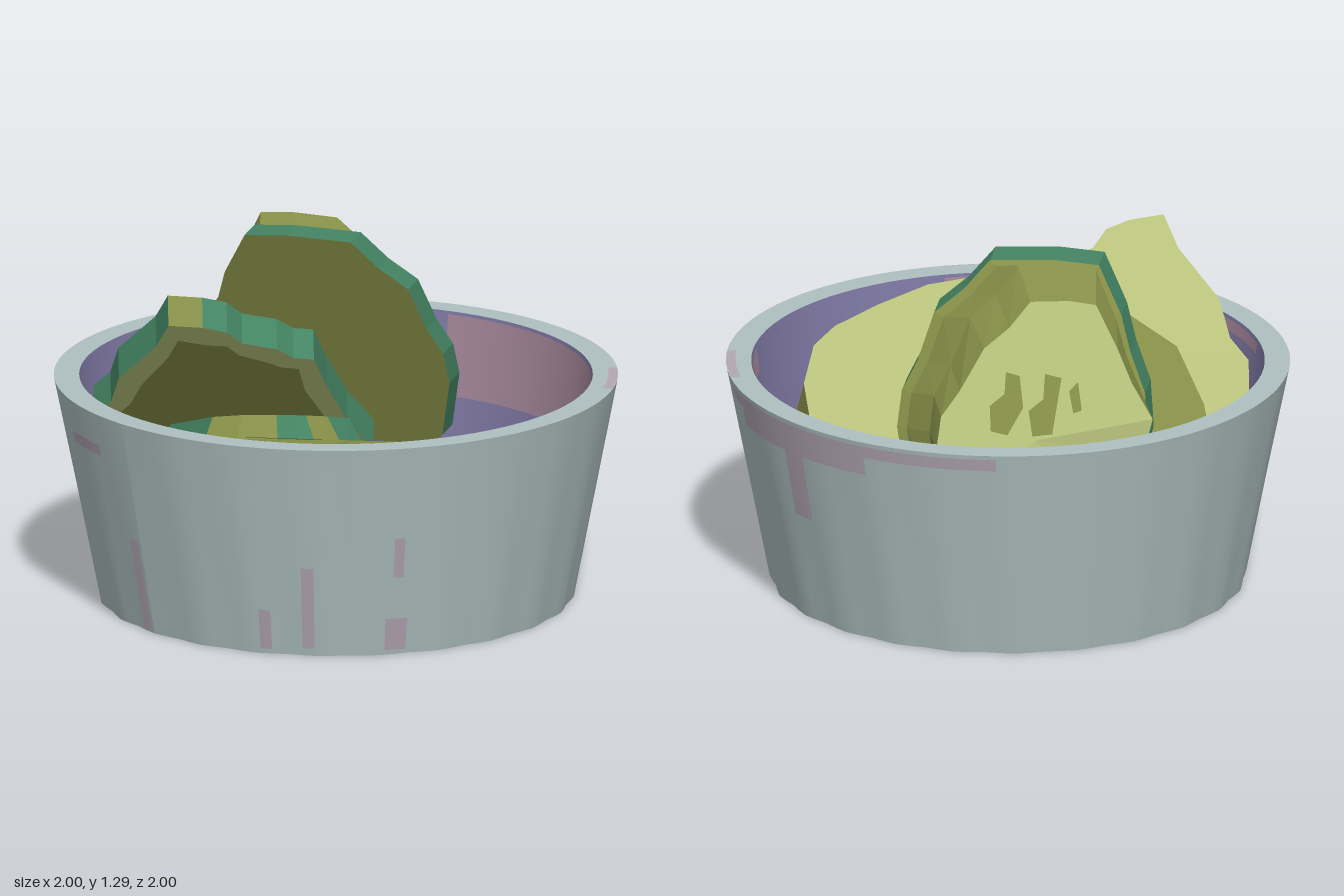
import * as THREE from 'three';

const mat = (name, color) => {
  const m = new THREE.MeshStandardMaterial({ color, side: THREE.DoubleSide });
  m.name = name;
  return m;
};
const V = (x, y, z) => new THREE.Vector3(x, y, z);

export function createModel() {
  const metal = mat('greyMetal', 0xafc0c0);
  const purple = mat('purpleInside', 0x7f79a4);
  const pink = mat('pinkStain', 0xb3a6b4);
  const mauve = mat('mauveStain', 0xa5879b);
  const flesh = mat('paleFlesh', 0xb8c27b);
  const olive = mat('oliveFlesh', 0x858e47);
  const teal = mat('tealRind', 0x448463);

  const model = new THREE.Group();
  const bowl = new THREE.Group();
  bowl.name = 'bowl';
  model.add(bowl);

  const add = (parent, name, geometry, material) => {
    const m = new THREE.Mesh(geometry, material);
    m.name = name;
    parent.add(m);
    return m;
  };

  // Bowl walls: turned profiles, optionally fluted towards the foot
  const outerR = (y) => 0.845 + 0.155 * y / 0.8;
  const innerR = (y) => 0.845 + 0.065 * (y - 0.24) / 0.56;
  const turn = (name, profile, material, fluted) => {
    const g = new THREE.LatheGeometry(profile.map(([r, y]) => new THREE.Vector2(r, y)), 96);
    if (fluted) {
      const p = g.attributes.position;
      for (let i = 0; i < p.count; i++) {
        const x = p.getX(i), z = p.getZ(i);
        const k = 1 + 0.007 * (Math.cos(24 * Math.atan2(x, z)) - 1) * (1 - p.getY(i) / 0.8);
        p.setX(i, x * k);
        p.setZ(i, z * k);
      }
      g.computeVertexNormals();
    }
    add(bowl, name, g, material);
  };
  turn('outerWall', [[outerR(0), 0], [outerR(0.4), 0.4], [1, 0.8]], metal, true);
  turn('rim', [[1, 0.8], [0.91, 0.8]], metal);
  turn('innerWall', [[0.91, 0.8], [0.845, 0.24]], purple);
  turn('footInside', [[0.87, 0.2], [0.835, 0]], metal, true);
  turn('footEdge', [[0.835, 0], [0.845, 0]], metal, true);
  turn('floorUnderside', [[0.001, 0.2], [0.87, 0.2]], purple);

  // Floor in two colours, split by a chord
  const floorPart = (name, a0, a1, material) => {
    const s = new THREE.Shape();
    s.absarc(0, 0, 0.845, a0, a1, false);
    const m = add(bowl, name, new THREE.ShapeGeometry(s, 32), material);
    m.rotation.x = -Math.PI / 2;
    m.position.y = 0.24;
  };
  floorPart('floorBack', 0.2, Math.PI - 0.2, metal);
  floorPart('floorFront', Math.PI - 0.2, Math.PI * 2 + 0.2, purple);

  // Stains: thin curved strips [angle, angular width, bottom, top]
  const strip = (name, radius, offset, [a, w, y0, y1], material) => {
    const n = Math.max(2, Math.ceil(w * 16));
    const g = new THREE.CylinderGeometry(radius(y1) + offset, radius(y0) + offset, y1 - y0, n, 1, true, a - w / 2, w);
    add(bowl, name, g, material).position.y = (y0 + y1) / 2;
  };
  [[-0.035, 0.05, 0.01, 0.35], [0.75, 0.05, 0.03, 0.34], [0.57, 0.05, 0.02, 0.17], [-0.28, 0.23, 0.64, 0.68],
    [1.11, 0.04, 0.3, 0.45], [1.11, 0.09, 0.02, 0.14], [3.2, 1.3, 0.74, 0.785],
    [3.0, 0.7, 0.67, 0.74], [3.0, 0.1, 0.42, 0.67]]
    .forEach((s) => strip('outerStain', outerR, 0.003, s, pink));
  [[3.0, 1.1, 0.5, 0.79], [2.35, 0.4, 0.7, 0.79], [0.2, 1.6, 0.75, 0.79]]
    .forEach((s) => strip('innerStain', innerR, -0.005, s, mauve));
  const rimStain = add(bowl, 'rimStain', new THREE.RingGeometry(0.965, 0.998, 8, 1, 0.66, 0.28), pink);
  rimStain.rotation.x = -Math.PI / 2;
  rimStain.position.y = 0.803;

  // Faceted surfaces: fans for faces, bands for sides
  const facets = (tris) => {
    const g = new THREE.BufferGeometry().setFromPoints(tris);
    g.computeVertexNormals();
    return g;
  };
  const fan = (ring, c, flip) => facets(ring.flatMap((p, i) => {
    const q = ring[(i + 1) % ring.length];
    return flip ? [c, q, p] : [c, p, q];
  }));
  const band = (a, b, keep) => facets(a.flatMap((p, i) => {
    const j = (i + 1) % a.length;
    return keep(i) ? [b[i], b[j], a[j], b[i], a[j], p] : [];
  }));
  const middle = (ring) => ring.reduce((s, p) => s.add(p), V(0, 0, 0)).divideScalar(ring.length);

  // Keeps a point inside the bowl
  const inside = (v) => {
    if (v.y < 0.88) {
      v.y = Math.max(v.y, 0.215);
      const r = Math.hypot(v.x, v.z), max = Math.max(0.832, innerR(v.y) - 0.012);
      if (r > max) { v.x *= max / r; v.z *= max / r; }
    }
    return v;
  };

  // Slice on the plane y = h + bx + cz, given by its plan outline; the underside is wider by flare
  const slice = (name, [h, b, c], thick, flare, outline, rind, patches, marks) => {
    const group = new THREE.Group();
    group.name = name;
    model.add(group);
    const n = V(-b, 1, -c).normalize();
    const at = ([x, z], lift = 0) => V(x, h + b * x + c * z, z).addScaledVector(n, lift);
    const flat = outline.map((p) => at(p));
    const heart = middle(flat);
    const top = flat.map((p) => inside(p.clone()));
    const bottom = flat.map((p) => inside(p.clone()
      .addScaledVector(p.clone().sub(heart).normalize(), flare).addScaledVector(n, -thick)));
    add(group, 'topFace', fan(top, middle(top)), flesh);
    add(group, 'bottomFace', fan(bottom, middle(bottom), true), flesh);
    add(group, 'rind', band(top, bottom, (i) => !patches.includes(i)), rind);
    if (patches.length) add(group, 'rindPatch', band(top, bottom, (i) => patches.includes(i)), olive);
    marks.forEach(([label, pts, m]) => {
      const ring = pts.map((p) => at(p, 0.007));
      add(group, label, fan(ring, middle(ring)), m);
    });
    // Seed core on the underside
    const mid = middle(bottom);
    const core = bottom.map((p, i) => p.clone().lerp(mid, i % 3 ? 0.17 : 0.21).addScaledVector(n, -0.008));
    add(group, 'undersideCore', fan(core, middle(core), true), olive);
  };

  slice('lowSlice', [0.534, 0.22, 0.22], 0.12, 0.025,
    [[-0.02, 0.64], [0.1, 0.7], [0.22, 0.72], [0.4, 0.67], [0.68, 0.53], [0.76, 0.4], [0.81, 0.2], [0.84, 0],
      [0.82, -0.13], [0.7, -0.31], [0.55, -0.44], [0.4, -0.48], [0.33, -0.47], [0.2, -0.46], [0.08, -0.4],
      [0, -0.1], [-0.1, 0.3]],
    olive, [], [
      ['core', [[0.05, 0.6], [0.2, 0.65], [0.34, 0.65], [0.39, 0.55], [0.41, 0.37], [0.36, 0.2], [0.22, 0.05],
        [0.14, -0.1], [0.1, -0.22], [0.04, -0.22], [0, 0.2]], olive],
      ['glintLeft', [[0.42, 0.24], [0.5, 0.25], [0.54, 0.29], [0.54, 0.23], [0.48, 0.21], [0.42, 0.21]], metal],
      ['glintRight', [[0.54, 0.29], [0.57, 0.35], [0.64, 0.36], [0.62, 0.3], [0.54, 0.25]], metal]]);

  slice('middleSlice', [0.61, 0.3, 0.22], 0.12, 0.06,
    [[-0.2, 0.6], [-0.05, 0.63], [0.1, 0.66], [0.2, 0.61], [0.26, 0.5], [0.28, 0.38], [0.28, 0.28], [0.25, 0.15],
      [0.17, 0.07], [0.05, 0], [-0.2, 0.25]],
    teal, [2, 3, 5], []);

  slice('leaningSlice', [0.77, 0.93, 0.76], 0.13, 0,
    [[-0.72, 0.53], [-0.55, 0.66], [-0.47, 0.65], [-0.38, 0.69], [-0.2, 0.67], [-0.11, 0.69], [-0.04, 0.59],
      [0, 0.51], [0, 0.44], [0.06, 0.33], [0.07, 0.26], [0.11, 0.2], [0.06, 0.1], [0, -0.05], [-0.03, -0.2],
      [-0.2, -0.2], [-0.4, -0.02], [-0.6, 0.15], [-0.77, 0.33]],
    teal, [5], [
      ['core', [[-0.65, 0.28], [-0.62, 0.4], [-0.52, 0.46], [-0.36, 0.49], [-0.2, 0.42], [-0.08, 0.27], [-0.02, 0.1],
        [-0.03, -0.1], [-0.18, -0.14], [-0.38, 0.03], [-0.55, 0.17]], olive]]);

  // Upright thick end piece: outlines in its own (u, y) plane, stepped along w
  const end = new THREE.Group();
  end.name = 'uprightEndPiece';
  model.add(end);
  const place = (u, y, w) => inside(V(0.82 * u + 0.57 * w, y, -0.57 * u + 0.82 * w));
  const frontW = (y) => -0.09 - (1.27 - y) * 0.42;
  const rindW = (y) => frontW(y) - 0.14;
  const backW = (y) => -0.43 - (1.29 - y) * 0.52;
  const outline = [[-0.3, 0.3], [0.1, 0.3], [0.28, 0.48], [0.33, 0.7], [0.32, 0.82], [0.27, 0.92], [0.22, 1.08],
    [0.12, 1.16], [0.03, 1.26], [-0.2, 1.27], [-0.36, 1.26], [-0.45, 1.1], [-0.49, 0.98], [-0.55, 0.85],
    [-0.57, 0.7], [-0.5, 0.45]];
  const step = (su, sy, du, dy, peak, w) => outline.map(([u, y]) => {
    const narrow = 1 - peak * Math.max(0, y - 0.85);
    const U = -0.12 + (u + 0.12) * su * narrow + du, Y = 0.75 + (y - 0.75) * sy + dy;
    return place(U, Y, w(Y));
  });
  const rings = [
    step(1, 1, 0, 0, 0, frontW),
    step(1, 1, 0, 0, 0, rindW),
    step(0.94, 0.97, -0.01, 0, 0.1, (y) => rindW(y) - 0.015),
    step(0.86, 0.98, -0.07, 0.03, 0.4, (y) => (rindW(y) + backW(y)) / 2),
    step(0.87, 0.86, -0.12, 0.01, 0.75, backW),
  ];
  add(end, 'frontFace', fan(rings[0], middle(rings[0])), olive);
  rings.slice(1).forEach((r, i) => add(end, i ? 'oliveSide' : 'rind', band(rings[i], r, () => true), i ? olive : teal));
  add(end, 'backFace', fan(rings[4], place(-0.2, 0.76, backW(0.76)), true), flesh);

  // Seed marks on the pale back face
  const seeds = [
    [[-0.1, 0.77], [-0.04, 0.78], [-0.03, 0.86], [-0.08, 0.9], [-0.08, 0.97], [-0.13, 0.96], [-0.15, 0.86]],
    [[-0.26, 0.78], [-0.19, 0.77], [-0.17, 0.85], [-0.22, 0.89], [-0.22, 0.97], [-0.28, 0.96]],
    [[-0.36, 0.86], [-0.33, 0.85], [-0.31, 0.92], [-0.34, 0.95]],
  ];
  seeds.forEach((s) => {
    const ring = s.map(([u, y]) => place(u, y + 0.006, backW(y) - 0.009));
    add(end, 'seedMark', fan(ring, middle(ring), true), olive);
  });

  return model;
}
